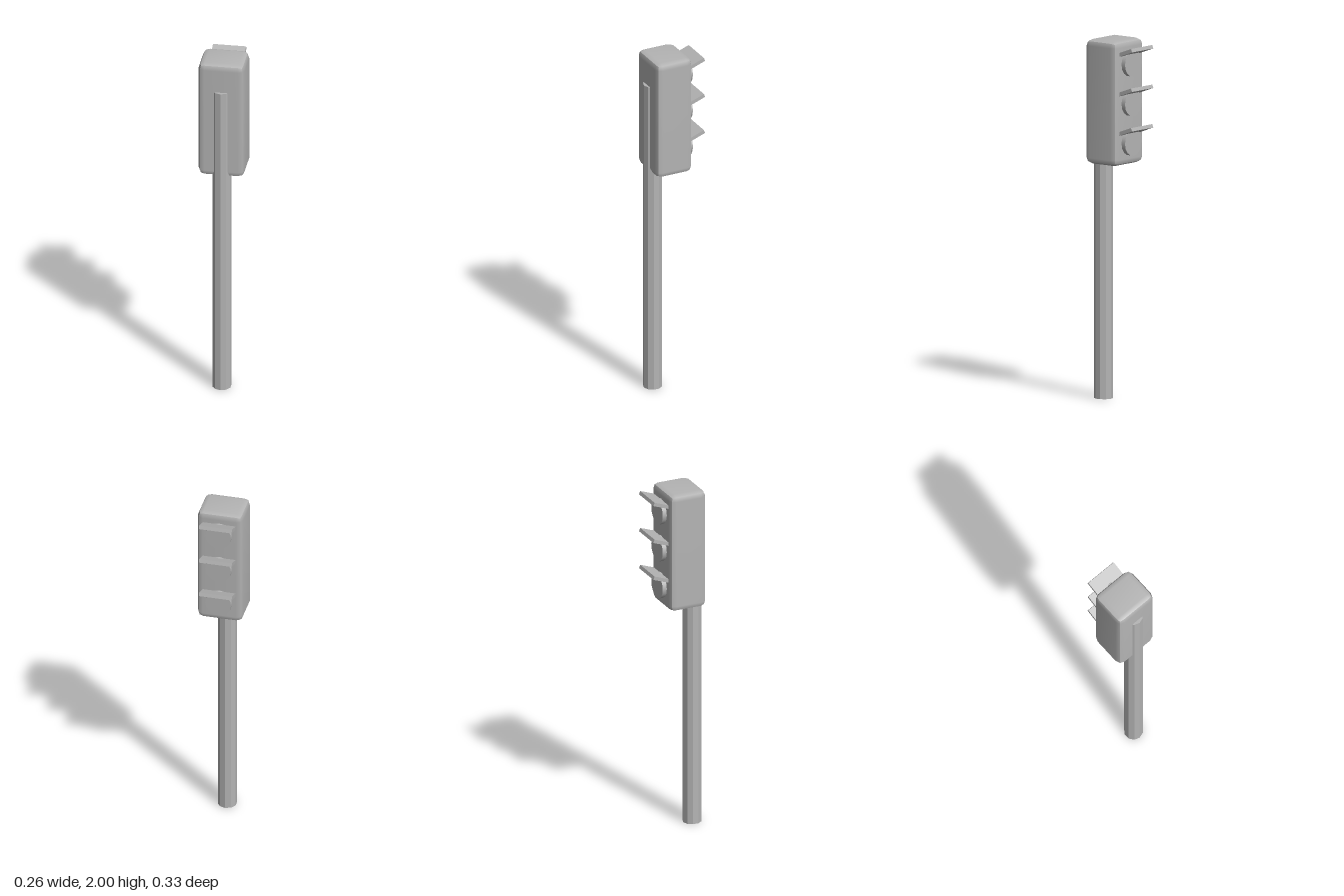
import * as THREE from 'three';

// Box with two-step rounded edges, each side shaded as one soft panel
function softBox(w, h, d, r) {
  const geo = new THREE.BoxGeometry(1, 1, 1, 3, 3, 3);
  const pos = geo.attributes.position;
  const half = new THREE.Vector3(w / 2, h / 2, d / 2);
  const p = new THREE.Vector3();
  const dir = new THREE.Vector3();
  const outer = (v) => (Math.abs(v) > 0.4 ? Math.sign(v) : 0);
  for (let i = 0; i < pos.count; i++) {
    p.fromBufferAttribute(pos, i);
    dir.set(outer(p.x), outer(p.y), outer(p.z)).normalize();
    pos.setXYZ(
      i,
      Math.sign(p.x) * (half.x - r) + dir.x * r,
      Math.sign(p.y) * (half.y - r) + dir.y * r,
      Math.sign(p.z) * (half.z - r) + dir.z * r
    );
  }
  geo.computeVertexNormals();
  return geo;
}

export function createModel() {
  const group = new THREE.Group();
  group.name = 'trafficLight';
  const grey = new THREE.MeshStandardMaterial({ color: 0xb4b4b4 });
  grey.name = 'grey';

  const add = (name, geo, x, y, z) => {
    const mesh = new THREE.Mesh(geo, grey);
    mesh.name = name;
    mesh.position.set(x, y, z);
    group.add(mesh);
    return mesh;
  };

  // Ten-sided pole with hard edges, partly sunk into the housing
  const poleGeo = new THREE.CylinderGeometry(0.0525, 0.0525, 1.835, 10).toNonIndexed();
  poleGeo.computeVertexNormals();
  add('pole', poleGeo, 0, 1.835 / 2, 0.1115);

  // Signal housing
  add('housing', softBox(0.256, 0.69, 0.22, 0.035), 0, 1.655, 0.035);

  // Three lamps, each under a visor tilted up and outwards
  const lampGeo = new THREE.CylinderGeometry(0.073, 0.073, 0.04, 16).rotateX(-Math.PI / 2);
  const visorGeo = new THREE.BoxGeometry(0.184, 0.02, 0.1);
  ['top', 'middle', 'bottom'].forEach((place, i) => {
    const y = 1.873 - i * 0.219;
    add(place + 'Lamp', lampGeo, 0, y, -0.08);
    add(place + 'Visor', visorGeo, 0, y + 0.071, -0.1146).rotation.x = 0.35;
  });

  return group;
}
